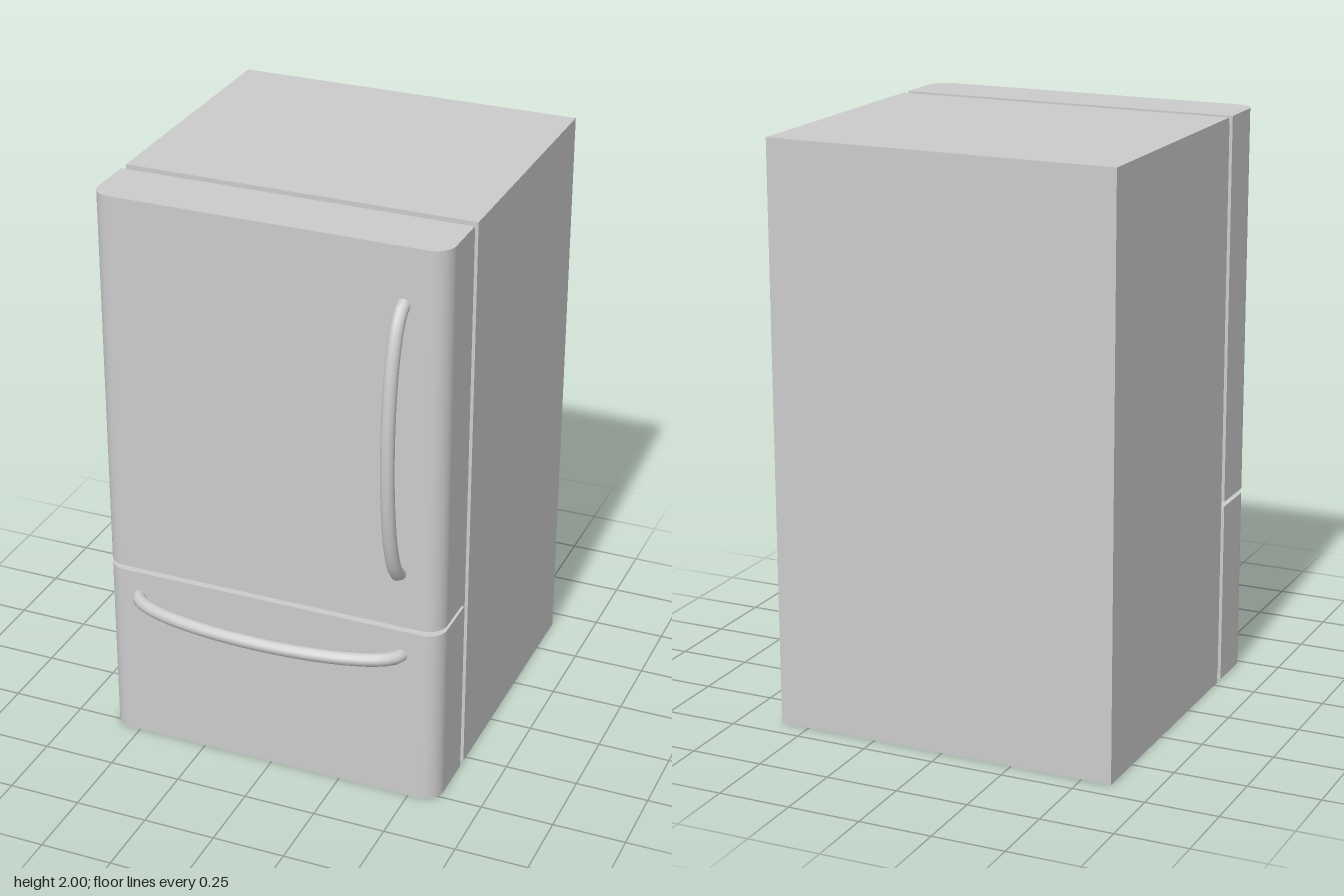
import * as THREE from 'three';

const W = 0.603;          // half width
const DOOR_BACK = 0.31, DOOR_FRONT = 0.532;

export function createModel() {
  const group = new THREE.Group();
  group.name = 'refrigerator';
  const material = new THREE.MeshStandardMaterial({ color: 0xcccccc });

  const add = (name, geometry) => {
    const mesh = new THREE.Mesh(geometry, material);
    mesh.name = name;
    group.add(mesh);
    return mesh;
  };

  // Box given by its extents
  const addBox = (name, halfWidth, y0, y1, z0, z1) => {
    const mesh = add(name, new THREE.BoxGeometry(halfWidth * 2, y1 - y0, z1 - z0));
    mesh.position.set(0, (y0 + y1) / 2, (z0 + z1) / 2);
  };

  addBox('cabinet', W, 0, 2, -0.675, 0.275);
  addBox('doorSeal', 0.592, 0.02, 1.98, 0.275, DOOR_BACK);

  // Door panel: plan outline with rounded front corners, extruded upwards
  const addDoor = (name, y0, y1) => {
    const r = 0.065;
    const plan = new THREE.Shape();
    plan.moveTo(-W, -DOOR_BACK);
    plan.lineTo(-W, -DOOR_FRONT + r);
    plan.absarc(-W + r, -DOOR_FRONT + r, r, Math.PI, Math.PI * 1.5, false);
    plan.absarc(W - r, -DOOR_FRONT + r, r, Math.PI * 1.5, Math.PI * 2, false);
    plan.lineTo(W, -DOOR_BACK);
    plan.closePath();
    const geometry = new THREE.ExtrudeGeometry(plan, {
      depth: y1 - y0, bevelEnabled: false, curveSegments: 6,
    });
    geometry.rotateX(-Math.PI / 2);
    // Smooth the rounded corners, keeping the top and bottom edges sharp
    const p = geometry.attributes.position, n = geometry.attributes.normal;
    for (let i = 0; i < p.count; i++) {
      if (Math.abs(n.getY(i)) > 0.5) continue;
      const dx = Math.abs(p.getX(i)) - (W - r), dz = p.getZ(i) - (DOOR_FRONT - r);
      if (dx < -1e-5 || dz < -1e-5) continue;
      const v = new THREE.Vector3(Math.sign(p.getX(i)) * dx, 0, dz).normalize();
      n.setXYZ(i, v.x, 0, v.z);
    }
    add(name, geometry).position.y = y0;
  };
  addDoor('upperDoor', 0.657, 2);
  addDoor('freezerDrawer', 0, 0.64);

  // Bowed tube handle, modelled along x and bulging towards +z
  const handleGeometry = () => {
    const points = [];
    for (let i = 0; i <= 16; i++) {
      const a = Math.PI * (1 - i / 16);
      points.push(new THREE.Vector3(0.477 * Math.cos(a), 0, 0.522 + 0.128 * Math.sin(a)));
    }
    return new THREE.TubeGeometry(new THREE.CatmullRomCurve3(points), 32, 0.023, 12);
  };
  add('drawerHandle', handleGeometry()).position.set(-0.008, 0.547, 0);
  const doorHandle = add('doorHandle', handleGeometry());
  doorHandle.rotation.z = Math.PI / 2;
  doorHandle.position.set(0.459, 1.33, 0);

  return group;
}
